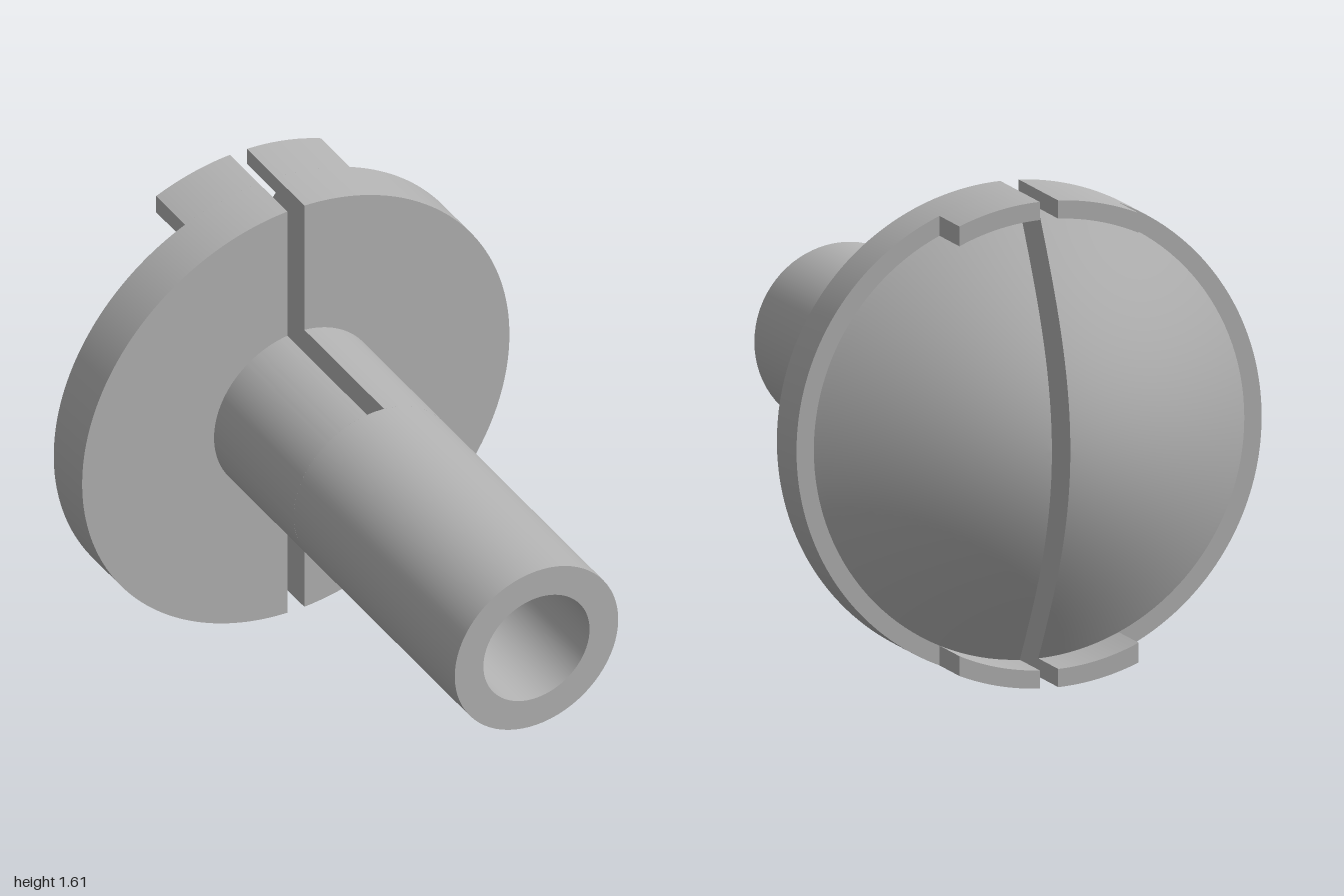
import * as THREE from 'three';
import { toCreasedNormals } from 'three/addons/utils/BufferGeometryUtils.js';

const R = 0.805, RIM = 0.745, SHAFT = 0.308, BORE = 0.2; // radii
const SLOT = 0.032, TAB = 0.31; // half widths
const FLANGE_FRONT = -0.525, FLANGE_BACK = -0.705, TAB_END = -0.888, SLOT_END = -0.02;

// Extrude a shape along z between two planes, smooth on its arcs
function slab(shape, z0, z1) {
  const g = new THREE.ExtrudeGeometry(shape, { depth: z1 - z0, bevelEnabled: false, curveSegments: 48 });
  g.translate(0, 0, z0);
  return toCreasedNormals(g, 0.5);
}

// Half disc on the +x side of the slot
function halfDisc(r) {
  const a = Math.acos(SLOT / r);
  return new THREE.Shape().absarc(0, 0, r, -a, a, false);
}

// Arc-shaped tab at the top, between two x positions
function tabShape(x0, x1) {
  const s = new THREE.Shape();
  s.absarc(0, 0, R, Math.acos(x1 / R), Math.acos(x0 / R), false);
  s.absarc(0, 0, RIM, Math.acos(x0 / RIM), Math.acos(x1 / RIM), true);
  return s;
}

// Grid surface from a function of u and v in 0..1
function grid(nu, nv, f) {
  const pos = [], idx = [];
  for (let i = 0; i <= nu; i++) for (let j = 0; j <= nv; j++) pos.push(...f(i / nu, j / nv));
  for (let i = 0; i < nu; i++) for (let j = 0; j < nv; j++) {
    const a = i * (nv + 1) + j, b = a + nv + 1;
    idx.push(a, a + 1, b, b, a + 1, b + 1);
  }
  const g = new THREE.BufferGeometry();
  g.setAttribute('position', new THREE.Float32BufferAttribute(pos, 3));
  g.setIndex(idx);
  g.computeVertexNormals();
  return g;
}

const domeZ = (r) => FLANGE_BACK - (1 + FLANGE_BACK) * Math.cos((Math.PI / 2) * Math.min(1, r / RIM));

export function createModel() {
  const grey = new THREE.MeshStandardMaterial({ color: 0xb4b4b4 });
  grey.name = 'grey';
  const model = new THREE.Group();
  model.name = 'slottedFastener';
  const add = (parent, name, geometry) => {
    const m = new THREE.Mesh(geometry, grey);
    m.name = name;
    parent.add(m);
  };

  // Solid front of the shaft with a blind bore
  const profile = [[0, SLOT_END], [SHAFT, SLOT_END], [SHAFT, 1], [BORE, 1], [BORE, 0.1], [0, 0.1]]
    .map(([x, y]) => new THREE.Vector2(x, y));
  const tube = new THREE.LatheGeometry(profile, 72).rotateX(Math.PI / 2);
  add(model, 'shaft', toCreasedNormals(tube, 0.5));

  // Two identical halves either side of the slot
  const yMax = Math.sqrt(RIM * RIM - SLOT * SLOT);
  for (const [name, turn] of [['leftHalf', 0], ['rightHalf', Math.PI]]) {
    const half = new THREE.Group();
    half.name = name;
    half.rotation.z = turn;
    add(half, 'splitShaft', slab(halfDisc(SHAFT), FLANGE_FRONT, SLOT_END));
    add(half, 'flange', slab(halfDisc(R), FLANGE_BACK, FLANGE_FRONT));
    add(half, 'innerTab', slab(tabShape(SLOT, TAB), TAB_END, FLANGE_BACK));
    add(half, 'outerTab', slab(tabShape(-TAB, -SLOT), TAB_END, FLANGE_BACK));
    // Domed back, clipped at the slot
    add(half, 'dome', grid(32, 64, (u, v) => {
      const r = SLOT + (RIM - SLOT) * u;
      const t = Math.acos(SLOT / r) * (2 * v - 1);
      return [r * Math.cos(t), r * Math.sin(t), domeZ(r)];
    }));
    // Flat slot wall under the dome
    add(half, 'slotWall', grid(1, 64, (u, v) => {
      const y = yMax * (2 * v - 1);
      return [SLOT, y, u ? domeZ(Math.hypot(y, SLOT)) : FLANGE_BACK];
    }));
    model.add(half);
  }

  model.children.forEach((c) => { c.position.y = R; });
  return model;
}
